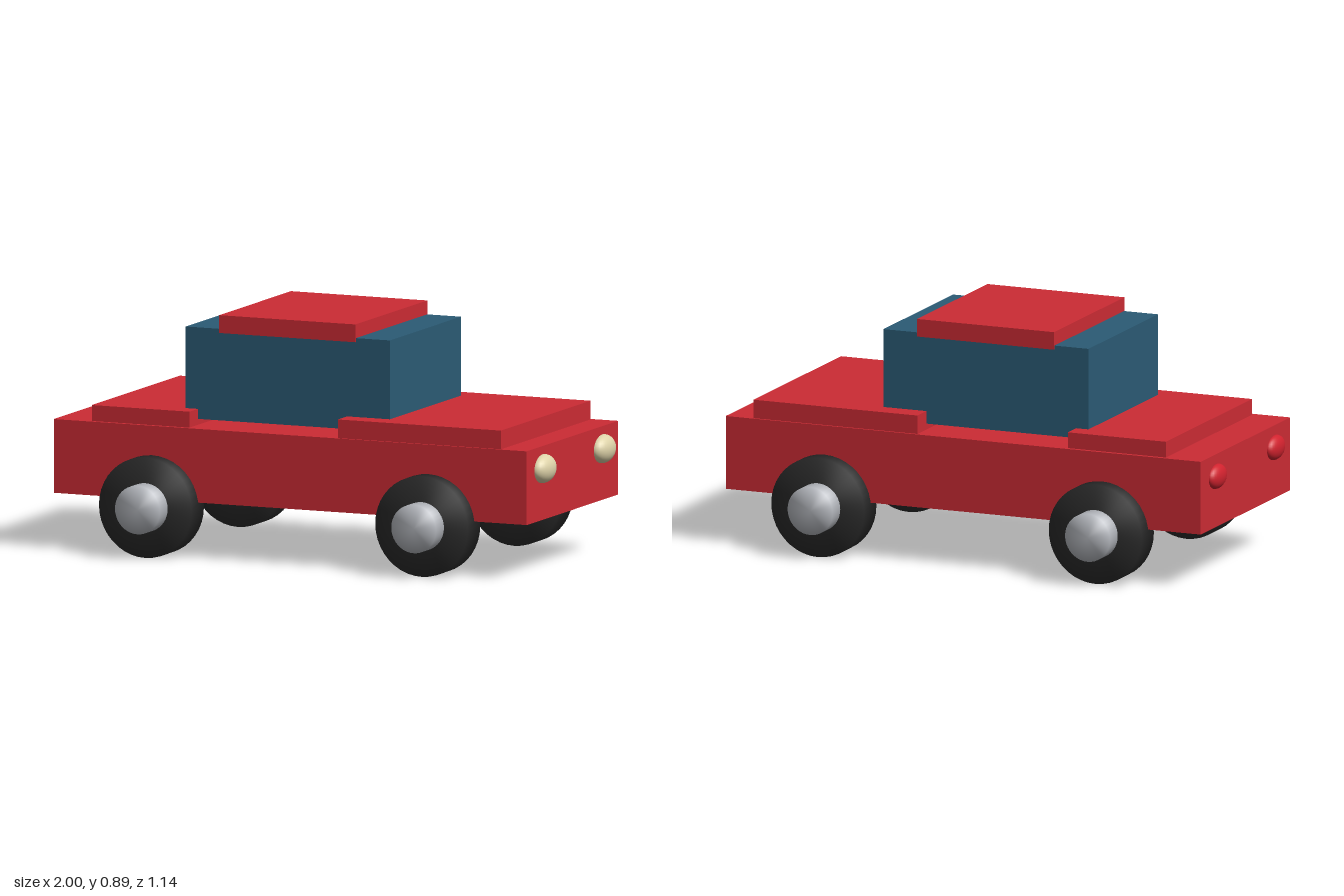
import * as THREE from 'three';

const mat = (name, color) => {
  const m = new THREE.MeshStandardMaterial({ color });
  m.name = name;
  return m;
};

export function createModel() {
  const red = mat('red paint', 0xcc2b34);
  const blue = mat('blue glass', 0x2b5b75);
  const black = mat('black rubber', 0x2a2a2a);
  const grey = mat('grey metal', 0xb4b7bd);
  const cream = mat('cream lamp', 0xddd2a8);
  const tailRed = mat('tail lamp red', 0xd0222e);

  const model = new THREE.Group();
  model.name = 'car';

  // The car points along x and is turned a few degrees
  const car = new THREE.Group();
  car.name = 'carBody';
  car.rotation.y = -0.053;
  car.position.set(-0.0075, 0, -0.003);
  model.add(car);

  const add = (name, geometry, material, x, y, z) => {
    const mesh = new THREE.Mesh(geometry, material);
    mesh.name = name;
    mesh.position.set(x, y, z);
    car.add(mesh);
    return mesh;
  };

  // Box given by length, width, lower and upper height
  const slab = (name, material, x, length, width, y0, y1) =>
    add(name, new THREE.BoxGeometry(length, y1 - y0, width), material, x, (y0 + y1) / 2, 0);

  slab('chassis', red, 0, 1.9, 0.812, 0.208, 0.481);
  slab('hood', red, 0.515, 0.656, 0.795, 0.47, 0.55);
  slab('trunk', red, -0.608, 0.392, 0.782, 0.47, 0.54);
  slab('cabin', blue, -0.051, 0.82, 0.632, 0.503, 0.842);
  slab('roof', red, -0.051, 0.548, 0.638, 0.827, 0.893);

  // Discs with normals blended over the rim
  const disc = (r, width) => {
    const h = width / 2;
    const profile = [[0, -h], [r, -h], [r, h], [0, h]].map(([a, b]) => new THREE.Vector2(a, b));
    return new THREE.LatheGeometry(profile, 40).rotateX(Math.PI / 2);
  };
  const tireGeometry = disc(0.186, 0.11);
  const hubGeometry = disc(0.09, 0.12);
  const lampGeometry = new THREE.SphereGeometry(1, 28, 18);

  for (const side of [1, -1]) {
    const sideName = side > 0 ? 'Near' : 'Far';

    // Wheels
    for (const x of [0.555, -0.555]) {
      const end = x > 0 ? 'front' : 'rear';
      add(end + 'Tire' + sideName, tireGeometry, black, x, 0.186, side * 0.412);
      add(end + 'Hub' + sideName, hubGeometry, grey, x, 0.187, side * 0.477);
    }

    // Lamps
    add('headlight' + sideName, lampGeometry, cream, 0.952, 0.398, side * 0.264)
      .scale.set(0.042, 0.053, 0.075);
    add('taillight' + sideName, lampGeometry, tailRed, -0.95, 0.398, side * 0.264)
      .scale.set(0.03, 0.046, 0.068);
  }

  return model;
}
